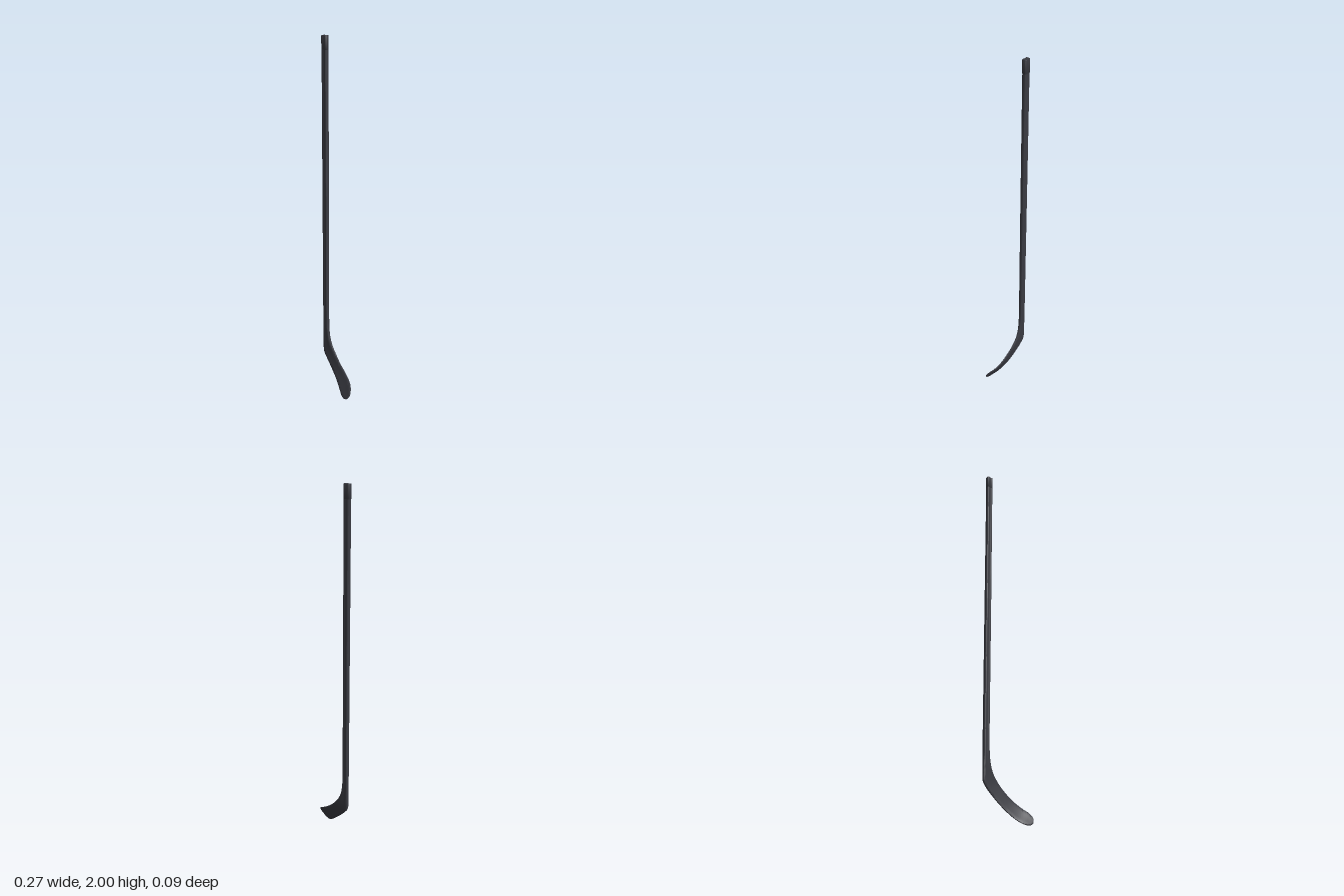
import * as THREE from 'three';
import { toCreasedNormals } from 'three/addons/utils/BufferGeometryUtils.js';

// Quarter of the unit cross-section: rounded corners with slightly hollow faces
const QUARTER = [[1, 0], [1, 0.45], [0.96, 0.72], [0.85, 0.93], [0.7, 1], [0.5, 0.97], [0.3, 0.91]];
const half = [...QUARTER, [0, 0.89], ...QUARTER.slice(1).reverse().map(([x, y]) => [-x, y])];
const PROFILE = [...half, ...half.map(([x, y]) => [-x, -y])];

// Skins sections { l, r, t }: outer edge, inner edge and thickness, listed from top to bottom
function loft(sections) {
  const n = PROFILE.length, pos = [], idx = [];
  const mids = sections.map(s => s.l.clone().add(s.r).multiplyScalar(0.5));
  sections.forEach((s, i) => {
    const along = mids[Math.min(i + 1, mids.length - 1)].clone().sub(mids[Math.max(i - 1, 0)]);
    const u = s.r.clone().sub(s.l).multiplyScalar(0.5);
    const w = u.clone().cross(along).normalize().multiplyScalar(s.t / 2);
    for (const [a, b] of PROFILE) {
      pos.push(...mids[i].clone().addScaledVector(u, a).addScaledVector(w, b).toArray());
    }
  });
  const last = sections.length - 1, top = sections.length * n, end = top + 1;
  pos.push(...mids[0].toArray(), ...mids[last].toArray());
  for (let j = 0; j < n; j++) {
    const k = (j + 1) % n;
    for (let i = 0; i < last; i++) {
      const a = i * n + j, b = i * n + k;
      idx.push(a, a + n, b, b, a + n, b + n);
    }
    idx.push(top, j, k, end, last * n + k, last * n + j);
  }
  const geo = new THREE.BufferGeometry();
  geo.setAttribute('position', new THREE.Float32BufferAttribute(pos, 3));
  geo.setIndex(idx);
  return toCreasedNormals(geo, 0.8);
}

const section = ([lx, ly, lz, rx, ry, rz, t]) =>
  ({ l: new THREE.Vector3(lx, ly, lz), r: new THREE.Vector3(rx, ry, rz), t });

// Smooths a few key sections into many
function refine(rows, steps) {
  const s = rows.map(section);
  const curve = pts => new THREE.CatmullRomCurve3(pts, false, 'centripetal');
  const L = curve(s.map(v => v.l)), R = curve(s.map(v => v.r));
  const T = curve(s.map((v, i) => new THREE.Vector3(i, v.t, 0)));
  return Array.from({ length: steps + 1 }, (_, i) => {
    const f = i / steps;
    return { l: L.getPoint(f), r: R.getPoint(f), t: T.getPoint(f).y };
  });
}

// Straight level section of the shaft
const level = (y, x0, x1, t) => section([x0, y, -0.033, x1, y, -0.033, t]);

export function createModel() {
  const group = new THREE.Group();
  const material = new THREE.MeshStandardMaterial({ color: 0x3a3b42 });
  const add = (name, geo) => {
    const mesh = new THREE.Mesh(geo, material);
    mesh.name = name;
    group.add(mesh);
  };

  // Butt end, a touch thicker than the shaft
  add('buttEnd', loft([
    level(2, -0.138, -0.103, 0.022), level(1.997, -0.139, -0.102, 0.024),
    level(1.93, -0.139, -0.102, 0.024), level(1.928, -0.138, -0.103, 0.022),
  ]));

  // Long shaft
  add('shaft', loft([
    level(1.93, -0.138, -0.103, 0.022), level(1.2, -0.138, -0.103, 0.022), level(0.47, -0.138, -0.104, 0.021),
  ]));

  // Hosel, heel and curved, lofted blade in one sweep
  add('blade', loft(refine([
    [-0.138, 0.47, -0.033, -0.104, 0.47, -0.033, 0.021],
    [-0.138, 0.36, -0.033, -0.102, 0.36, -0.033, 0.020],
    [-0.138, 0.25, -0.033, -0.092, 0.29, -0.034, 0.018],
    [-0.136, 0.198, -0.032, -0.074, 0.247, -0.035, 0.015],
    [-0.116, 0.167, -0.030, -0.045, 0.207, -0.034, 0.012],
    [-0.07, 0.12, -0.023, -0.005, 0.165, -0.029, 0.010],
    [-0.01, 0.066, -0.008, 0.052, 0.121, -0.021, 0.009],
    [0.04, 0.026, 0.014, 0.1, 0.089, -0.005, 0.008],
    [0.072, 0.009, 0.031, 0.123, 0.071, 0.012, 0.008],
    [0.098, 0.005, 0.039, 0.135, 0.048, 0.027, 0.007],
    [0.116, 0.011, 0.041, 0.133, 0.031, 0.035, 0.005],
    [0.125, 0.018, 0.040, 0.129, 0.023, 0.039, 0.003],
  ], 66)));

  return group;
}
